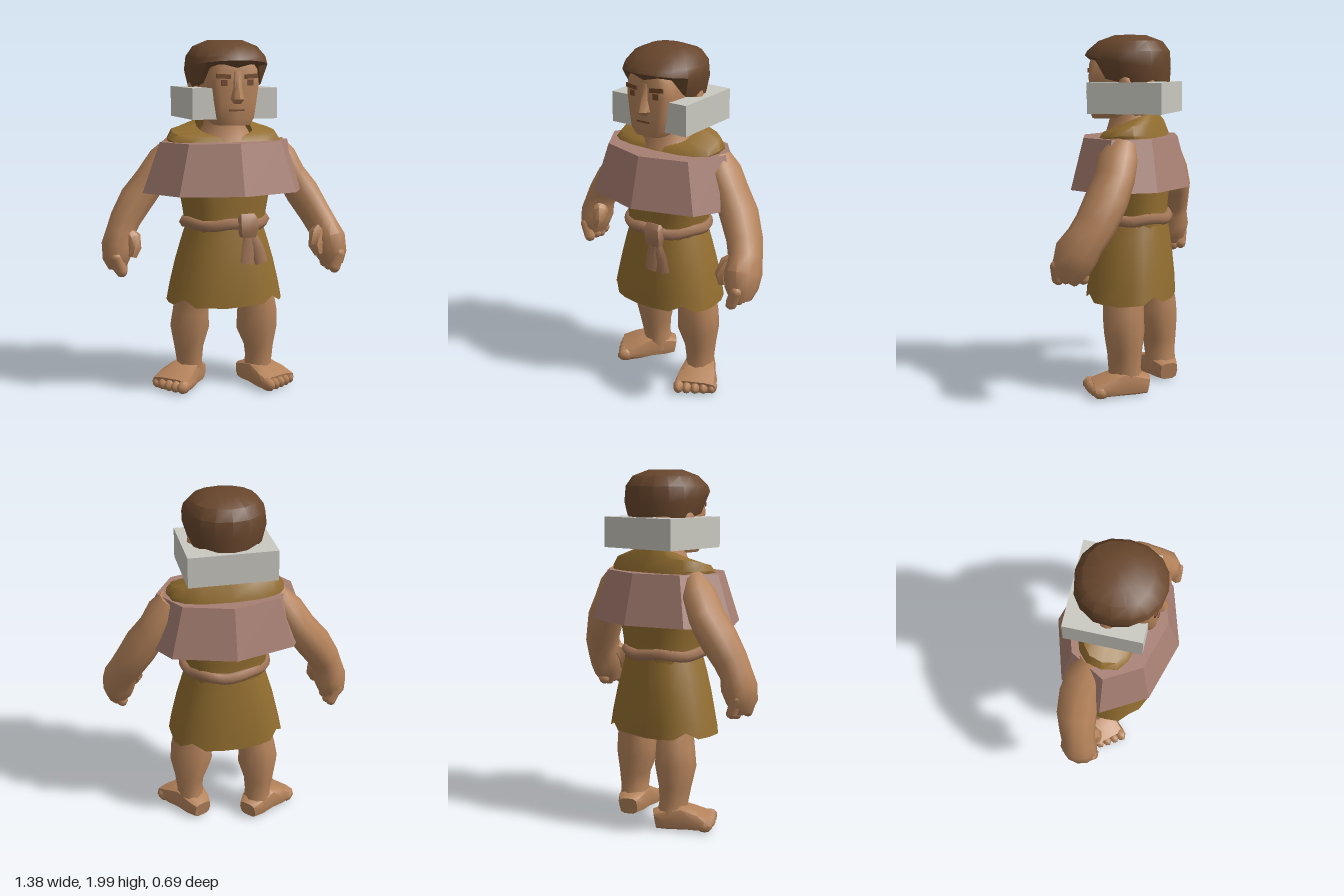
import * as THREE from 'three';
import { toCreasedNormals } from 'three/addons/utils/BufferGeometryUtils.js';

const mat = (name, color, side = THREE.FrontSide) =>
  Object.assign(new THREE.MeshStandardMaterial({ color, side }), { name });

const V = (x, y, z) => new THREE.Vector3(x, y, z);
const squash = (v, p) => Math.sign(v) * Math.abs(v) ** p;

// Skin through rings [x, y, z, sideRadius, frontRadius] strung along a path.
// ref: front direction, power < 1: squarer section, bend: rule moving a vertex
function loft(rings, { segs = 10, ref = V(0, 0, 1), power = 1, cap = true, bend, crease = 0.8 } = {}) {
  const pos = [], index = [], n = rings.length;
  const centre = (j) => V(...rings[Math.min(n - 1, Math.max(0, j))].slice(0, 3));
  for (let j = 0; j < n; j++) {
    const t = centre(j + 1).sub(centre(j - 1)).normalize();
    const front = ref.clone().addScaledVector(t, -ref.dot(t)).normalize();
    const side = front.clone().cross(t);
    for (let i = 0; i < segs; i++) {
      const a = (i / segs) * Math.PI * 2;
      const p = centre(j)
        .addScaledVector(side, squash(Math.cos(a), power) * rings[j][3])
        .addScaledVector(front, squash(Math.sin(a), power) * rings[j][4]);
      if (bend) bend(p, j, i);
      pos.push(p.x, p.y, p.z);
    }
  }
  for (let j = 0; j < n - 1; j++) for (let i = 0; i < segs; i++) {
    const a = j * segs + i, b = j * segs + (i + 1) % segs;
    index.push(a, b, b + segs, a, b + segs, a + segs);
  }
  if (cap) {
    pos.push(...centre(0).toArray(), ...centre(n - 1).toArray());
    const c = n * segs, last = (n - 1) * segs;
    for (let i = 0; i < segs; i++) {
      const k = (i + 1) % segs;
      index.push(c, k, i, c + 1, last + i, last + k);
    }
  }
  const g = new THREE.BufferGeometry();
  g.setAttribute('position', new THREE.Float32BufferAttribute(pos, 3));
  g.setIndex(index);
  return toCreasedNormals(g, crease);
}

export function createModel() {
  const model = new THREE.Group();
  model.name = 'tunicFigure';
  const skin = mat('skin', 0xb5835b), hair = mat('hair', 0x68462c);
  const tunic = mat('tunic', 0x936e30, THREE.DoubleSide), sash = mat('sash', 0xa27657);
  const leather = mat('collarLeather', 0xa77f73), grey = mat('greyBlock', 0xc9c8c0);
  const dark = mat('faceLines', 0x744a2c);

  const add = (name, geometry, material, parent = model) => {
    const m = new THREE.Mesh(geometry, material);
    m.name = name;
    parent.add(m);
    return m;
  };
  const box = (name, size, at, material, yaw = 0, roll = 0) => {
    const m = add(name, new THREE.BoxGeometry(...size), material);
    m.position.set(...at);
    m.rotation.set(0, yaw, roll);
  };

  // Block around the neck and eight-sided shoulder collar
  box('neckBlock', [0.49, 0.17, 0.42], [0, 1.655, -0.03], grey);
  const collar = new THREE.CylinderGeometry(0.79, 1, 0.28, 8).scale(0.48, 1, 0.345);
  add('shoulderCollar', toCreasedNormals(collar, 0.2), leather).position.y = 1.3;

  // Head, neck and face
  add('head', loft([
    [0, 1.537, 0.05, 0.095, 0.162], [0, 1.575, 0.05, 0.12, 0.17], [0, 1.66, 0.05, 0.135, 0.17],
    [0, 1.76, 0.05, 0.15, 0.17], [0, 1.84, 0.05, 0.14, 0.17], [0, 1.89, 0.05, 0.11, 0.16],
  ], { segs: 16, power: 0.45 }), skin);
  add('neck', loft([
    [0, 1.4, -0.01, 0.19, 0.17], [0, 1.47, -0.01, 0.16, 0.145], [0, 1.53, -0.01, 0.12, 0.13],
    [0, 1.62, -0.01, 0.11, 0.12],
  ]), skin);
  add('nose', loft([
    [0, 1.655, 0.21, 0.025, 0.02], [0, 1.68, 0.21, 0.042, 0.053], [0, 1.74, 0.21, 0.028, 0.035],
    [0, 1.83, 0.21, 0.028, 0.012],
  ], { segs: 8 }), skin);
  box('mouth', [0.085, 0.01, 0.009], [-0.005, 1.62, 0.2195], dark);
  for (const s of [-1, 1]) {
    box('eyebrow', [0.08, 0.024, 0.009], [s * 0.08, 1.803, 0.217], dark, s * 0.15, s * 0.06);
    box('eye', [0.035, 0.032, 0.009], [s * 0.075, 1.768, 0.216], dark, s * 0.1);
    const ear = add('ear', new THREE.SphereGeometry(0.06, 8, 6).scale(0.5, 1, 0.7), skin);
    ear.position.set(s * 0.18, 1.73, -0.02);
  }

  // Hair: lower edge rises to an arched, peaked fringe, with sideburns
  const hairShift = [0, 0.015, 0.012, 0, 0];
  add('hair', loft([
    [0, 1.785, 0, 0.195, 0.222], [0, 1.85, 0, 0.228, 0.24], [0, 1.91, 0, 0.218, 0.232],
    [0, 1.965, 0, 0.178, 0.178], [0, 1.998, 0, 0.1, 0.085],
  ], {
    segs: 16, power: 0.92, crease: 0.6,
    bend: (p, j) => {
      if (j === 0) {
        p.y += 0.2 * p.z;
        if (p.z > 0.12) p.y += Math.abs(p.x) < 0.03 ? 0.02 : 0.04;
        else if (Math.abs(p.z) < 0.12) p.y -= 0.045;
      }
      if (j === 1) p.y += 0.16 * p.z;
      p.z += hairShift[j];
    },
  }), hair);

  // Tunic body with square shoulders, neckline lower at the front
  add('tunicBody', loft([
    [0, 0.94, -0.01, 0.215, 0.195], [0, 1.06, -0.01, 0.235, 0.19], [0, 1.2, -0.01, 0.26, 0.205],
    [0, 1.36, -0.02, 0.3, 0.2], [0, 1.455, -0.02, 0.33, 0.17], [0, 1.49, -0.02, 0.305, 0.145],
    [0, 1.515, -0.02, 0.16, 0.125],
  ], {
    segs: 16, power: 0.75, cap: false,
    bend: (p, j) => {
      if (j === 5) p.y -= 0.2 * p.z;
      if (j === 6) p.y -= 0.4 * p.z;
      if (j === 4) p.y -= Math.max(0, p.z) * 0.2;
    },
  }), tunic);

  // Flared skirt with gentle folds and a ragged hem
  const fold = (i) => Math.sin(i * 2.1) * 0.6 + Math.sin(i * 0.9 + 1) * 0.4;
  add('skirt', loft([
    [0, 0.525, -0.01, 0.328, 0.238], [0, 0.62, -0.01, 0.312, 0.235], [0, 0.76, -0.01, 0.28, 0.222],
    [0, 0.88, -0.01, 0.245, 0.208], [0, 0.97, -0.01, 0.215, 0.195],
  ], {
    segs: 22, power: 0.85, cap: false, crease: 0.7,
    bend: (p, j, i) => {
      const k = 1 + fold(i) * 0.04 * Math.max(0, 1 - j / 3);
      p.x *= k;
      p.z *= k;
      if (j === 0) p.y += i % 6 === 2 ? 0.04 : fold(i) * 0.008;
    },
  }), tunic);

  // Sash, knot and hanging ends
  const ring = [];
  for (let i = 0; i < 18; i++) {
    const a = (i / 18) * Math.PI * 2;
    ring.push(V(Math.cos(a) * 0.228, 0.985 + 0.008 * Math.sin(i * 1.7), Math.sin(a) * 0.2 - 0.005));
  }
  add('sash', new THREE.TubeGeometry(new THREE.CatmullRomCurve3(ring, true), 36, 0.034, 6, true), sash);
  add('sashKnot', loft([
    [0.065, 0.92, 0.215, 0.05, 0.026], [0.065, 0.96, 0.22, 0.06, 0.032],
    [0.06, 1.02, 0.22, 0.058, 0.03], [0.06, 1.042, 0.21, 0.048, 0.02],
  ], { segs: 8, power: 0.7 }), sash);
  for (const [x, z] of [[0.05, 0.235], [0.14, 0.23]]) {
    add('sashEnd', loft([
      [x, 0.77, z, 0.038, 0.012], [x * 0.6 + 0.03, 0.86, z - 0.005, 0.038, 0.016], [0.07, 0.95, 0.215, 0.03, 0.018],
    ], { segs: 6 }), sash);
  }

  // Arms with closed hands
  function arm(name, rings, hand, thumb) {
    const g = new THREE.Group();
    g.name = name;
    model.add(g);
    add('armAndFist', loft(rings), skin, g);
    for (let i = 0; i < 4; i++) {
      const f = add('finger', new THREE.CapsuleGeometry(0.034, 0.08, 3, 6), skin, g);
      f.position.set(hand[0] + (i % 3) * 0.006, hand[1] - 0.01 * (i % 2), hand[2] + (i - 1.5) * 0.046);
      f.rotation.z = Math.sign(hand[0]) * -0.35;
    }
    add('thumb', loft(thumb, { segs: 7 }), skin, g);
  }
  arm('leftArm', [
    [0.31, 1.42, -0.04, 0.06, 0.08], [0.35, 1.34, -0.03, 0.092, 0.11], [0.405, 1.24, -0.025, 0.09, 0.11],
    [0.475, 1.13, 0, 0.1, 0.118], [0.54, 1.01, 0.04, 0.09, 0.115], [0.575, 0.93, 0.085, 0.085, 0.11],
    [0.59, 0.86, 0.13, 0.098, 0.12], [0.6, 0.78, 0.155, 0.085, 0.105], [0.605, 0.72, 0.17, 0.055, 0.07],
  ], [0.6, 0.765, 0.165], [
    [0.56, 0.94, 0.12, 0.045, 0.045], [0.51, 0.9, 0.155, 0.05, 0.05], [0.49, 0.84, 0.18, 0.042, 0.042],
    [0.505, 0.79, 0.19, 0.025, 0.025],
  ]);
  arm('rightArm', [
    [-0.27, 1.42, -0.08, 0.06, 0.07], [-0.33, 1.33, -0.105, 0.092, 0.105], [-0.4, 1.22, -0.125, 0.094, 0.112],
    [-0.485, 1.11, -0.125, 0.1, 0.112], [-0.555, 1.0, -0.11, 0.09, 0.1], [-0.585, 0.93, -0.1, 0.085, 0.095],
    [-0.602, 0.86, -0.095, 0.095, 0.105], [-0.615, 0.78, -0.085, 0.078, 0.095], [-0.61, 0.73, -0.08, 0.05, 0.065],
  ], [-0.615, 0.77, -0.085], [
    [-0.57, 0.94, -0.07, 0.045, 0.045], [-0.53, 0.9, -0.035, 0.048, 0.048], [-0.525, 0.85, -0.015, 0.038, 0.038],
    [-0.54, 0.8, -0.01, 0.024, 0.024],
  ]);

  // Legs and turned-out bare feet
  function leg(name, s, rings, footAt, turn) {
    const g = new THREE.Group();
    g.name = name;
    model.add(g);
    add('legLimb', loft(rings), skin, g);
    const foot = new THREE.Group();
    foot.name = 'foot';
    foot.position.set(...footAt);
    foot.rotation.y = turn;
    g.add(foot);
    add('footSole', loft([
      [0, 0.055, -0.115, 0.055, 0.05], [0, 0.065, -0.06, 0.08, 0.062], [0, 0.075, 0.03, 0.095, 0.073],
      [0, 0.06, 0.11, 0.118, 0.058], [0, 0.042, 0.19, 0.125, 0.04],
    ], { ref: V(0, 1, 0), power: 0.6 }), skin, foot);
    for (let i = 0; i < 5; i++) {
      const r = i === 0 ? 0.037 : 0.033;
      const toe = add('toe', new THREE.SphereGeometry(r, 7, 5).scale(0.9, 1.05, 1.4), skin, foot);
      toe.position.set(s * (-0.094 + i * 0.048), r + 0.006, 0.195 - i * i * 0.002);
    }
  }
  leg('leftLeg', 1, [
    [0.21, 0.06, -0.03, 0.085, 0.1], [0.218, 0.15, -0.025, 0.076, 0.092], [0.218, 0.24, -0.025, 0.088, 0.098],
    [0.205, 0.35, -0.02, 0.125, 0.112], [0.205, 0.45, -0.015, 0.12, 0.115], [0.195, 0.54, -0.015, 0.11, 0.115],
    [0.14, 0.8, -0.01, 0.1, 0.11],
  ], [0.21, 0, -0.04], 0.42);
  leg('rightLeg', -1, [
    [-0.17, 0.06, -0.14, 0.085, 0.09], [-0.175, 0.15, -0.13, 0.076, 0.088], [-0.18, 0.24, -0.125, 0.088, 0.098],
    [-0.176, 0.36, -0.115, 0.118, 0.115], [-0.17, 0.45, -0.11, 0.108, 0.115], [-0.16, 0.54, -0.1, 0.098, 0.112],
    [-0.12, 0.8, -0.03, 0.1, 0.11],
  ], [-0.185, 0, -0.13], -0.85);

  return model;
}
